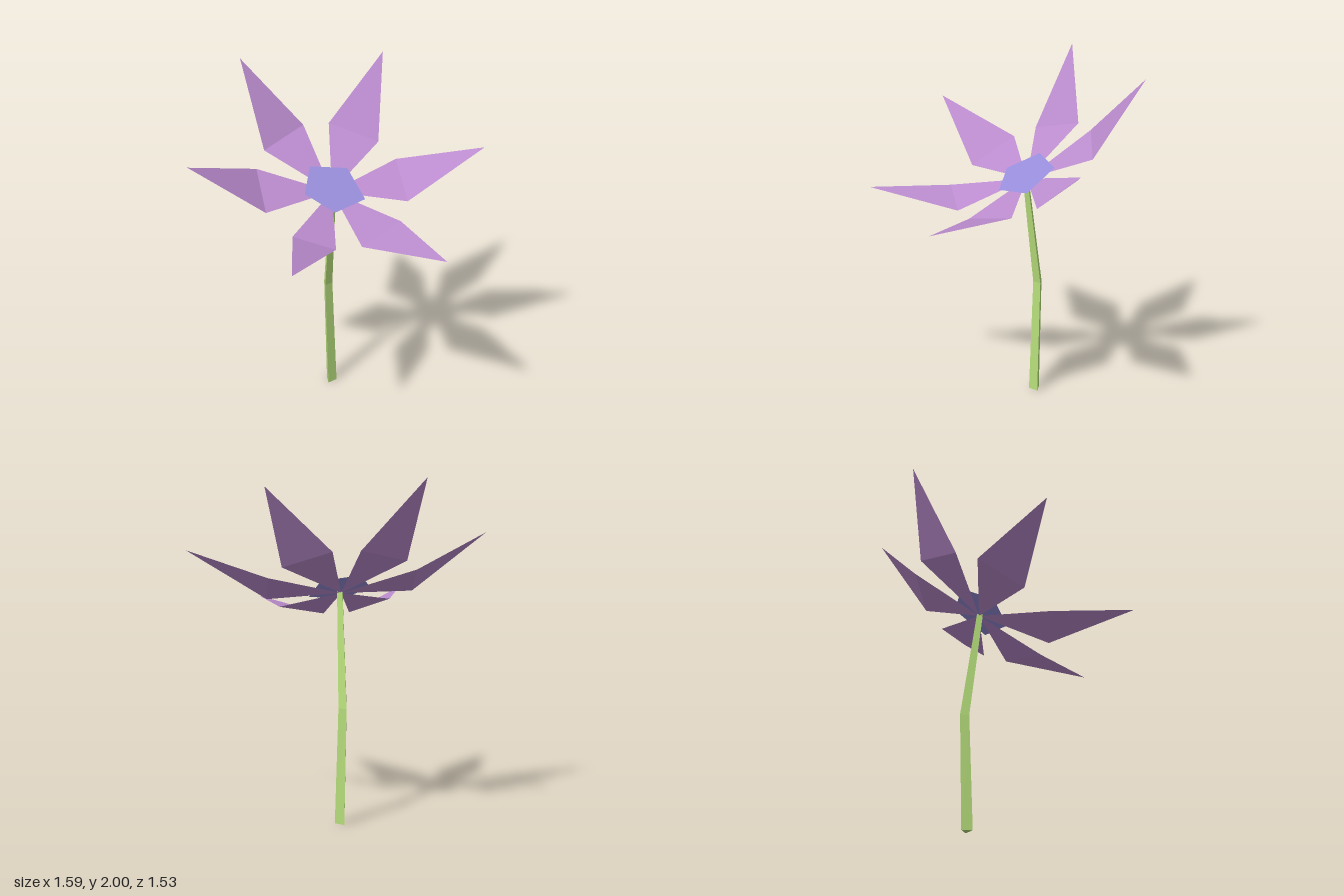
import * as THREE from 'three';

const petalMat = new THREE.MeshStandardMaterial({ color: 0xba8bcd, side: THREE.DoubleSide, flatShading: true });
petalMat.name = 'petal purple';
const discMat = new THREE.MeshStandardMaterial({ color: 0x968cd8, side: THREE.DoubleSide, flatShading: true });
discMat.name = 'centre blue';
const stemMat = new THREE.MeshStandardMaterial({ color: 0xb6de7b, flatShading: true });
stemMat.name = 'stem green';

// Flat-shaded mesh from a list of triangles, each made of three [x, y, z] points
function facets(name, triangles, material) {
  const geometry = new THREE.BufferGeometry();
  geometry.setAttribute('position', new THREE.Float32BufferAttribute(triangles.flat(2), 3));
  geometry.computeVertexNormals();
  const mesh = new THREE.Mesh(geometry, material);
  mesh.name = name;
  return mesh;
}

// Each petal: two shoulder points and a tip, all growing from the heart
const heart = [0.05, 1.328, -0.14];
const petals = {
  backPetal: [[0.135, 1.6, -0.51], [-0.17, 1.53, -0.49], [-0.12, 2, -0.77]],
  backLeftPetal: [[0.465, 1.5, -0.215], [0.275, 1.595, -0.445], [0.67, 1.955, -0.42]],
  leftPetal: [[0.37, 1.28, 0.16], [0.485, 1.43, -0.08], [0.79, 1.565, 0.345]],
  frontPetal: [[-0.05, 1.16, 0.25], [0.25, 1.22, 0.235], [0.12, 1.222, 0.765]],
  frontRightPetal: [[-0.38, 1.25, 0.04], [-0.19, 1.165, 0.19], [-0.675, 1.265, 0.415]],
  backRightPetal: [[-0.28, 1.47, -0.42], [-0.4, 1.32, -0.175], [-0.795, 1.655, -0.35]],
};

// Five-sided centre lying on one tilted plane
function centreDisc() {
  const outline = [[0.015, -0.3], [-0.125, -0.17], [-0.04, 0], [0.175, 0.01], [0.21, -0.195]];
  const points = outline.map(([x, z]) => [x, 1.356 + 0.13 * (x - 0.047) - 0.53 * (z + 0.131), z]);
  const triangles = [];
  for (let i = 1; i < 4; i++) triangles.push([points[0], points[i], points[i + 1]]);
  return facets('flowerCentre', triangles, discMat);
}

// Bent three-sided stem, tapering upwards
function stem() {
  // y, centre x, half width, front z, back z
  const sections = [
    [0, 0.079, 0.032, -0.175, -0.23],
    [0.68, 0.077, 0.027, -0.205, -0.25],
    [1.335, 0.05, 0.018, -0.125, -0.155],
  ];
  const rings = sections.map(([y, x, w, front, back]) => [[x - w, y, front], [x + w, y, front], [x, y, back]]);
  const triangles = [[...rings[0]].reverse(), rings[2]];
  for (let r = 0; r < 2; r++) {
    const low = rings[r], high = rings[r + 1];
    for (let i = 0; i < 3; i++) {
      const j = (i + 1) % 3;
      triangles.push([low[i], low[j], high[j]], [low[i], high[j], high[i]]);
    }
  }
  return facets('stem', triangles, stemMat);
}

export function createModel() {
  const flower = new THREE.Group();
  flower.name = 'flower';
  flower.add(stem(), centreDisc());
  for (const [name, [a, b, tip]] of Object.entries(petals)) {
    flower.add(facets(name, [[heart, a, b], [a, tip, b]], petalMat));
  }
  return flower;
}
